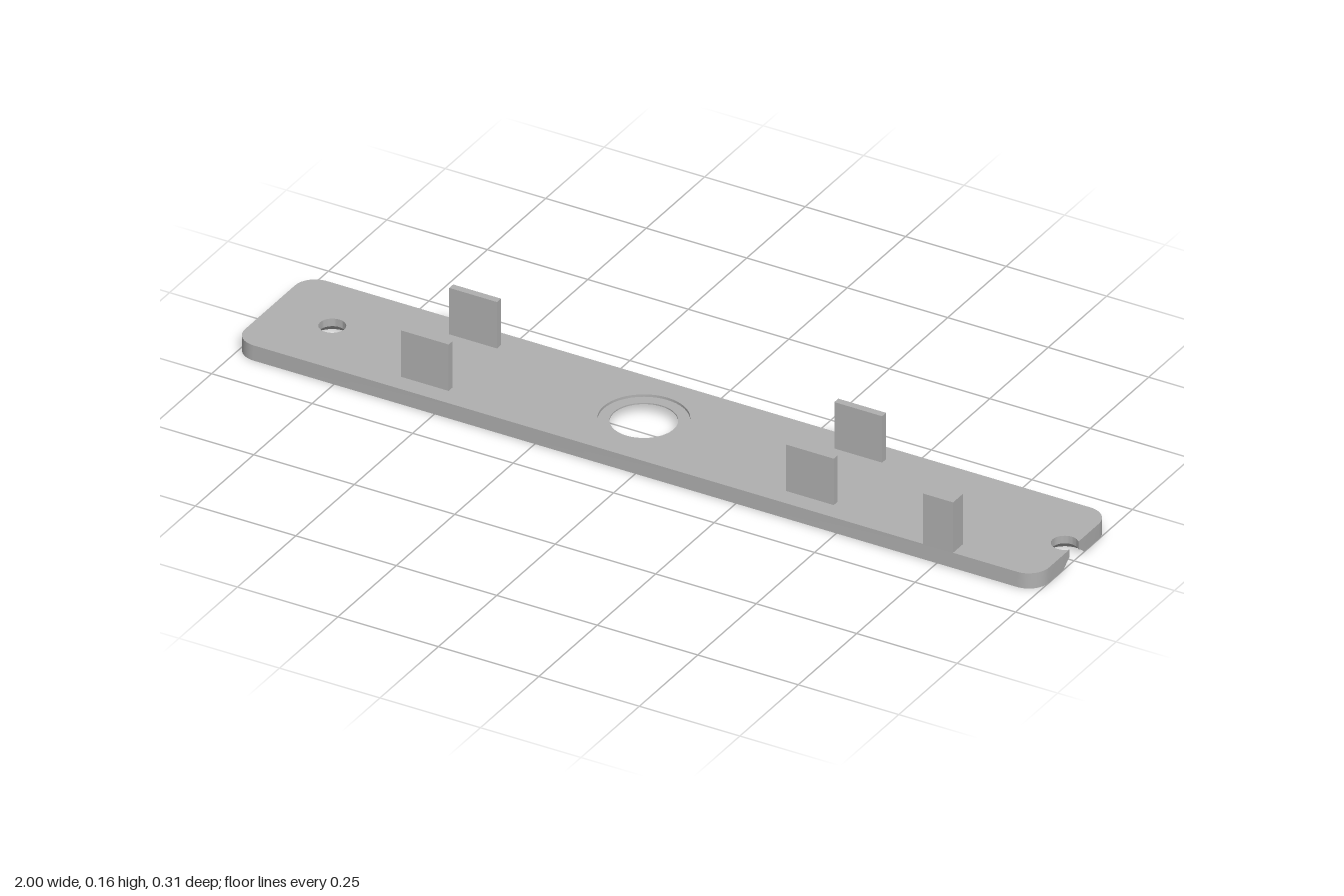
import * as THREE from 'three';
import { toCreasedNormals } from 'three/addons/utils/BufferGeometryUtils.js';

const HALF_DEPTH = 0.157, TOP = 0.038, CORNER = 0.05;
const SCREW_X = -0.845, BORE_X = -0.07, NOTCH_X = 0.977;

// Rounded plate outline, counter-clockwise, with a round notch in the +x end
function outline(notchRadius) {
  const points = [];
  const open = Math.acos((1 - NOTCH_X) / notchRadius);
  for (let i = 0; i <= 28; i++) {
    const a = -open - (i / 28) * (2 * Math.PI - 2 * open);
    points.push(new THREE.Vector2(NOTCH_X + notchRadius * Math.cos(a), notchRadius * Math.sin(a)));
  }
  [[1, 1], [-1, 1], [-1, -1], [1, -1]].forEach(([sx, sy], k) => {
    for (let i = 0; i <= 8; i++) {
      const a = (k + i / 8) * Math.PI / 2;
      points.push(new THREE.Vector2(
        sx * (1 - CORNER) + CORNER * Math.cos(a),
        sy * (HALF_DEPTH - CORNER) + CORNER * Math.sin(a)));
    }
  });
  return points;
}

// Flat face of the plate with its two round holes
function face(notchRadius, screwRadius, boreRadius) {
  const shape = new THREE.Shape(outline(notchRadius));
  for (const [x, r] of [[SCREW_X, screwRadius], [BORE_X, boreRadius]]) {
    shape.holes.push(new THREE.Path().absarc(x, 0, r, 0, Math.PI * 2, true));
  }
  return new THREE.ShapeGeometry(shape, 24);
}

// Outer wall: the notch narrows from its countersink to a straight bore
function rim() {
  const levels = [[0, 0.05], [0.007, 0.043], [0.013, 0.037], [0.019, 0.03], [TOP, 0.03]];
  const rings = levels.map(([y, r]) => outline(r).map(p => new THREE.Vector3(p.x, y, -p.y)));
  const corners = [];
  for (let l = 0; l < rings.length - 1; l++) {
    const low = rings[l], high = rings[l + 1], n = low.length;
    for (let i = 0; i < n; i++) {
      const j = (i + 1) % n;
      corners.push(low[i], low[j], high[j], low[i], high[j], high[i]);
    }
  }
  const geometry = new THREE.BufferGeometry().setFromPoints(corners);
  geometry.computeVertexNormals();
  return toCreasedNormals(geometry, 0.5);
}

// Inside wall of a round hole, profile listed from top to bottom
function holeWall(profile) {
  const lathe = new THREE.LatheGeometry(profile.map(([r, y]) => new THREE.Vector2(r, y)), 48);
  return toCreasedNormals(lathe, 0.5);
}

export function createModel() {
  const model = new THREE.Group();
  model.name = 'mountingPlate';
  const grey = new THREE.MeshStandardMaterial({ color: 0xb0b0b0, side: THREE.DoubleSide });
  grey.name = 'grey';

  const add = (name, geometry, x = 0, y = 0, z = 0) => {
    const mesh = new THREE.Mesh(geometry, grey);
    mesh.name = name;
    mesh.position.set(x, y, z);
    model.add(mesh);
  };

  // Plate
  add('plateTop', face(0.03, 0.03, 0.1).rotateX(-Math.PI / 2), 0, TOP, 0);
  add('plateBottom', face(0.05, 0.05, 0.125).rotateX(Math.PI / 2));
  add('plateRim', rim());

  // Countersunk screw hole and the large bore with its shallow top recess
  add('screwHole', holeWall([[0.03, TOP], [0.03, 0.019], [0.05, 0]]), SCREW_X);
  add('centreBore', holeWall([[0.1, TOP], [0.1, 0.032], [0.074, 0.032], [0.074, 0.029], [0.125, 0]]), BORE_X);

  // Two pairs of thin upright tabs
  for (const x of [-0.55, 0.408]) {
    for (const side of [1, -1]) {
      add(side > 0 ? 'frontTab' : 'backTab',
        new THREE.BoxGeometry(0.119, 0.116, 0.017), x, TOP + 0.058, side * 0.1035);
    }
  }

  // Taller post flush with the front edge
  add('edgePost', new THREE.BoxGeometry(0.075, 0.126, 0.042), 0.753, TOP + 0.063, HALF_DEPTH - 0.021);
  return model;
}
